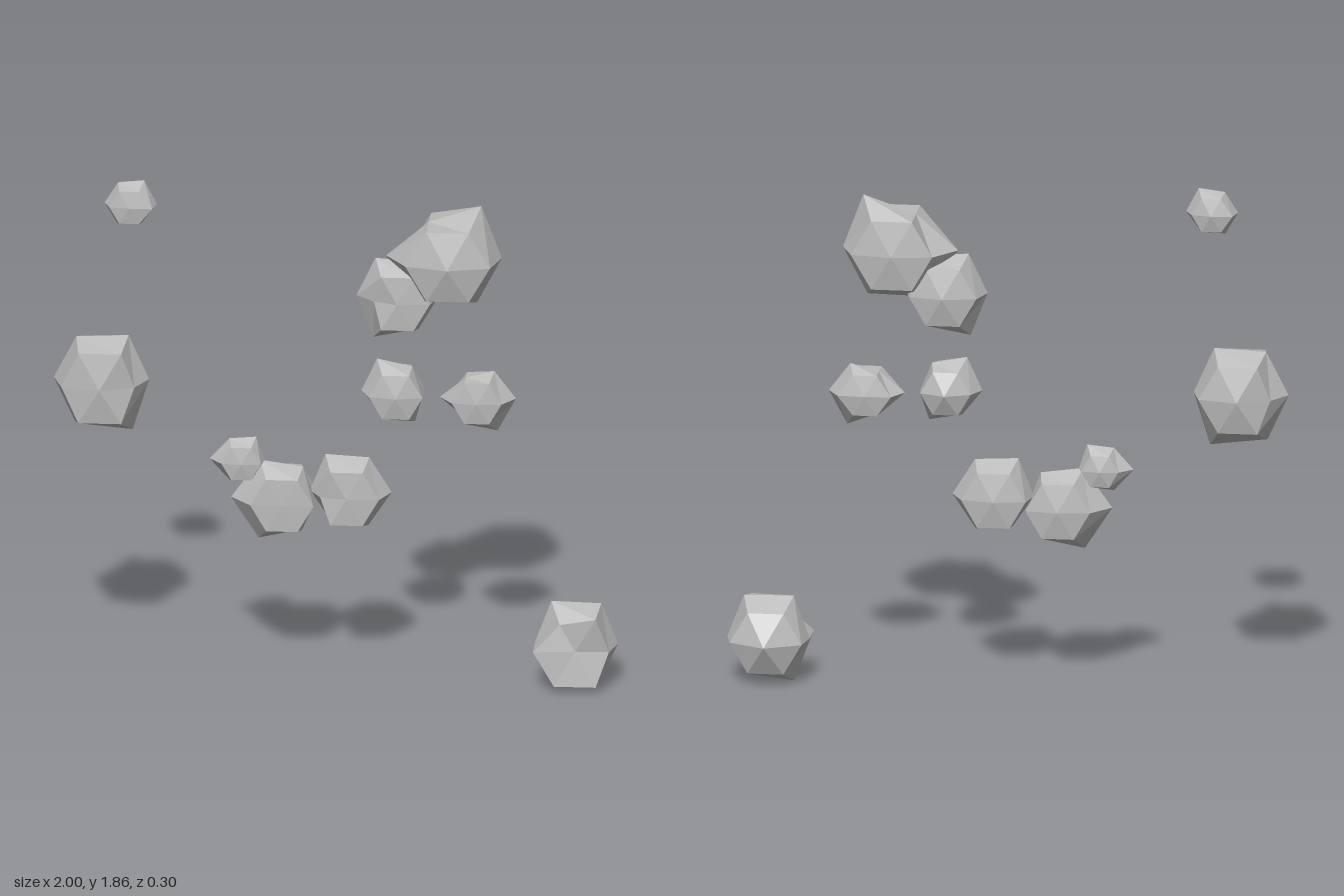
import * as THREE from 'three';

const rockGrey = new THREE.MeshStandardMaterial({ color: 0xbcbcbc, flatShading: true });
rockGrey.name = 'rockGrey';

// Each rock: centre, six equator radii (anticlockwise from +x),
// front and back ring radii, front and back tip depths,
// and bumps that scale one corner of a ring
const ROCKS = [
  { at: [-0.83, 1.115], rim: [0.168, 0.19, 0.18, 0.17, 0.19, 0.22], rings: [0.152, 0.14], tips: [0.13, 0.13],
    frontBumps: { 0: 0.8, 3: 0.9 }, backBumps: { 3: 0.82 } },
  { at: [-0.73, 1.78], rim: [0.095, 0.1, 0.086, 0.09, 0.09, 0.085], rings: [0.07, 0.07], tips: [0.06, 0.065],
    frontBumps: { 0: 1.18 }, backBumps: { 3: 1.1 } },
  { at: [0.402, 1.605], rim: [0.185, 0.225, 0.15, 0.225, 0.2, 0.195], rings: [0.15, 0.145], tips: [0.145, 0.125] },
  { at: [0.222, 1.452], rim: [0.14, 0.15, 0.165, 0.15, 0.18, 0.14], rings: [0.115, 0.12], tips: [0.09, 0.11],
    frontBumps: { 3: 0.73 } },
  { at: [0.215, 1.093], rim: [0.095, 0.11, 0.14, 0.125, 0.105, 0.13], rings: [0.095, 0.09], tips: [0.085, 0.1] },
  { at: [0.502, 1.075], rim: [0.135, 0.118, 0.087, 0.135, 0.09, 0.14], rings: [0.088, 0.085], tips: [0.075, 0.075],
    backBumps: { 0: 1.15, 3: 1.1 } },
  { at: [-0.333, 0.821], rim: [0.08, 0.1, 0.09, 0.115, 0.09, 0.08], rings: [0.07, 0.066], tips: [0.06, 0.06] },
  { at: [-0.187, 0.678], rim: [0.115, 0.14, 0.165, 0.185, 0.175, 0.135], rings: [0.112, 0.115], tips: [0.085, 0.1] },
  { at: [0.042, 0.71], rim: [0.155, 0.15, 0.16, 0.135, 0.125, 0.145], rings: [0.115, 0.115], tips: [0.09, 0.1],
    frontBumps: { 3: 0.82 } },
  { at: [0.852, 0.158], rim: [0.147, 0.175, 0.18, 0.147, 0.18, 0.14], rings: [0.148, 0.128], tips: [0.09, 0.15],
    frontBumps: { 0: 0.81, 2: 0.74 } },
];

// Six-sided faceted stone: tip, ring, equator, ring, tip along z
function rockGeometry({ rim, rings, tips, frontBumps = {}, backBumps = {} }) {
  const pos = [0, 0, tips[0]];
  const index = [];
  const addRing = (radius, depth) => {
    for (let i = 0; i < 6; i++) {
      const a = (i * Math.PI) / 3;
      const r = radius(i);
      pos.push(r * Math.cos(a), r * Math.sin(a), r * depth);
    }
  };
  addRing((i) => rings[0] * (frontBumps[i] ?? 1), 0.72);
  addRing((i) => rim[i], 0);
  addRing((i) => rings[1] * (backBumps[i] ?? 1), -0.7);
  pos.push(0, 0, -tips[1]);

  for (let i = 0; i < 6; i++) {
    const j = (i + 1) % 6;
    index.push(0, 1 + i, 1 + j);
    for (let k = 0; k < 2; k++) {
      const inner = 1 + k * 6;
      const outer = inner + 6;
      index.push(inner + i, outer + i, outer + j, inner + i, outer + j, inner + j);
    }
    index.push(19, 13 + j, 13 + i);
  }

  const indexed = new THREE.BufferGeometry();
  indexed.setAttribute('position', new THREE.Float32BufferAttribute(pos, 3));
  indexed.setIndex(index);
  const geometry = indexed.toNonIndexed();
  geometry.computeVertexNormals();
  return geometry;
}

export function createModel() {
  const group = new THREE.Group();
  group.name = 'floatingRocks';
  ROCKS.forEach((rock, n) => {
    const mesh = new THREE.Mesh(rockGeometry(rock), rockGrey);
    mesh.name = `rock${n + 1}`;
    mesh.position.set(rock.at[0], rock.at[1], 0);
    group.add(mesh);
  });
  return group;
}
